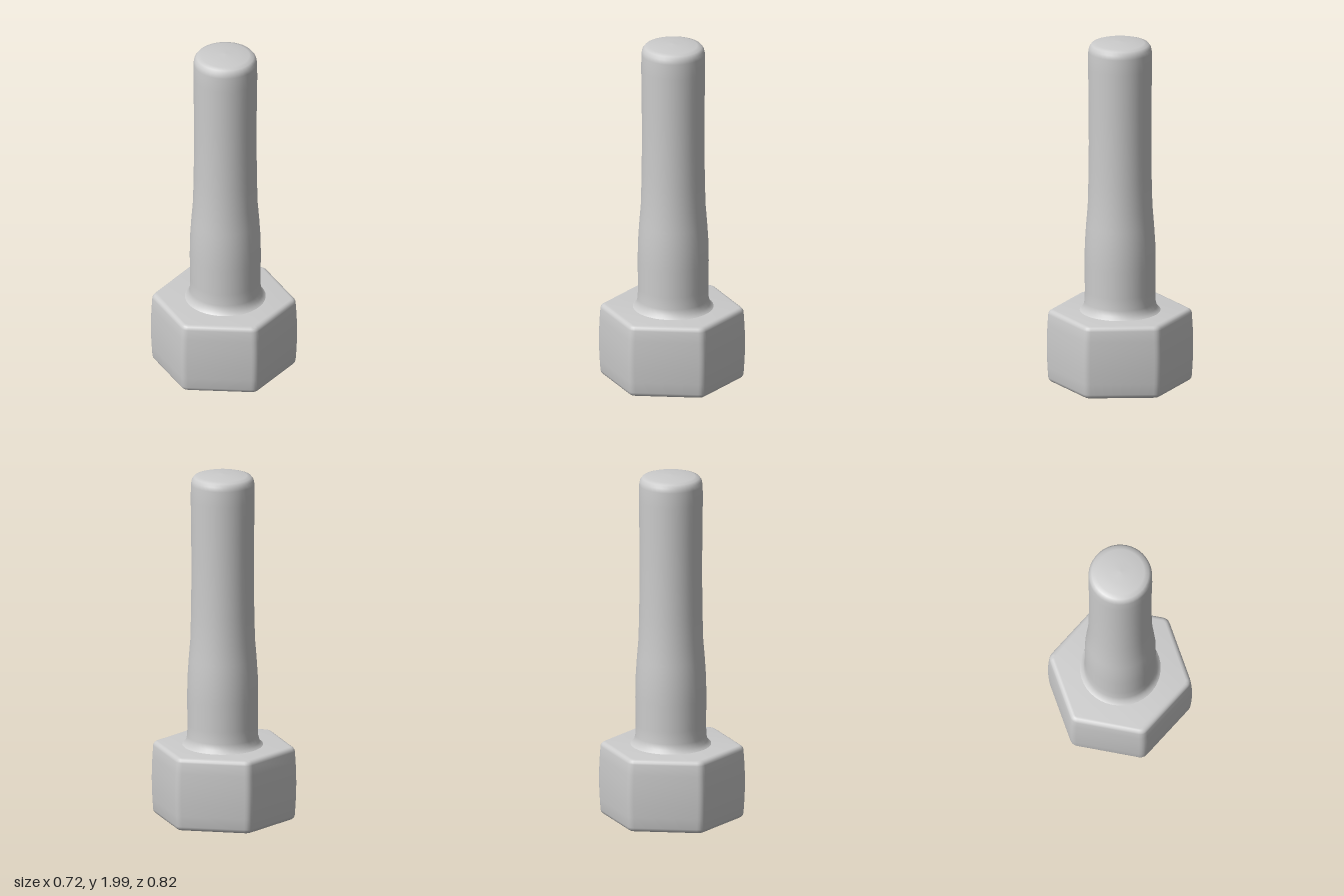
import * as THREE from 'three';
import { toCreasedNormals } from 'three/addons/utils/BufferGeometryUtils.js';

// Hexagon with softened corners, two of them pointing along the y axis
function roundedHexagon(radius, softness) {
  const corners = [];
  for (let i = 0; i < 6; i++) {
    const a = Math.PI / 2 + (i * Math.PI) / 3;
    corners.push(new THREE.Vector2(radius * Math.cos(a), radius * Math.sin(a)));
  }
  const shape = new THREE.Shape();
  corners.forEach((corner, i) => {
    const before = corner.clone().lerp(corners[(i + 5) % 6], softness);
    const after = corner.clone().lerp(corners[(i + 1) % 6], softness);
    if (i === 0) shape.moveTo(before.x, before.y);
    else shape.lineTo(before.x, before.y);
    shape.quadraticCurveTo(corner.x, corner.y, after.x, after.y);
  });
  shape.closePath();
  return shape;
}

export function createModel() {
  const group = new THREE.Group();
  const material = new THREE.MeshStandardMaterial({ color: 0xcccccc });

  // Hexagonal head with rounded rims and slightly swollen sides
  const bottom = 0.01, top = 0.43, bevel = 0.025;
  const headGeometry = new THREE.ExtrudeGeometry(roundedHexagon(0.415, 0.07), {
    depth: top - bottom - 2 * bevel,
    steps: 6,
    curveSegments: 4,
    bevelEnabled: true,
    bevelThickness: bevel,
    bevelSize: bevel,
    bevelOffset: -bevel,
    bevelSegments: 4,
  });
  headGeometry.rotateX(-Math.PI / 2).translate(0, bottom + bevel, 0);
  const p = headGeometry.attributes.position;
  for (let i = 0; i < p.count; i++) {
    const t = (p.getY(i) - bottom) / (top - bottom);
    const swell = 0.98 + 0.025 * Math.sin(Math.PI * t);
    p.setX(i, p.getX(i) * swell);
    p.setZ(i, p.getZ(i) * swell);
  }
  const head = new THREE.Mesh(toCreasedNormals(headGeometry, 0.6), material);
  head.name = 'hexHead';
  group.add(head);

  // Shank: fillet at the head, thicker lower part, softly rounded tip
  const profile = [
    [0.24, 0.42], [0.222, 0.433], [0.207, 0.45], [0.199, 0.48], [0.197, 0.55],
    [0.199, 0.7], [0.197, 0.82], [0.19, 0.93], [0.181, 1.04], [0.177, 1.2],
    [0.175, 1.4], [0.176, 1.65], [0.179, 1.85], [0.178, 1.94], [0.173, 1.965],
    [0.16, 1.982], [0.135, 1.99], [0.07, 1.997], [0, 2],
  ].map(([r, y]) => new THREE.Vector2(r, y));
  const shank = new THREE.Mesh(new THREE.LatheGeometry(profile, 40), material);
  shank.name = 'shank';
  shank.position.x = 0.008;
  group.add(shank);

  return group;
}
